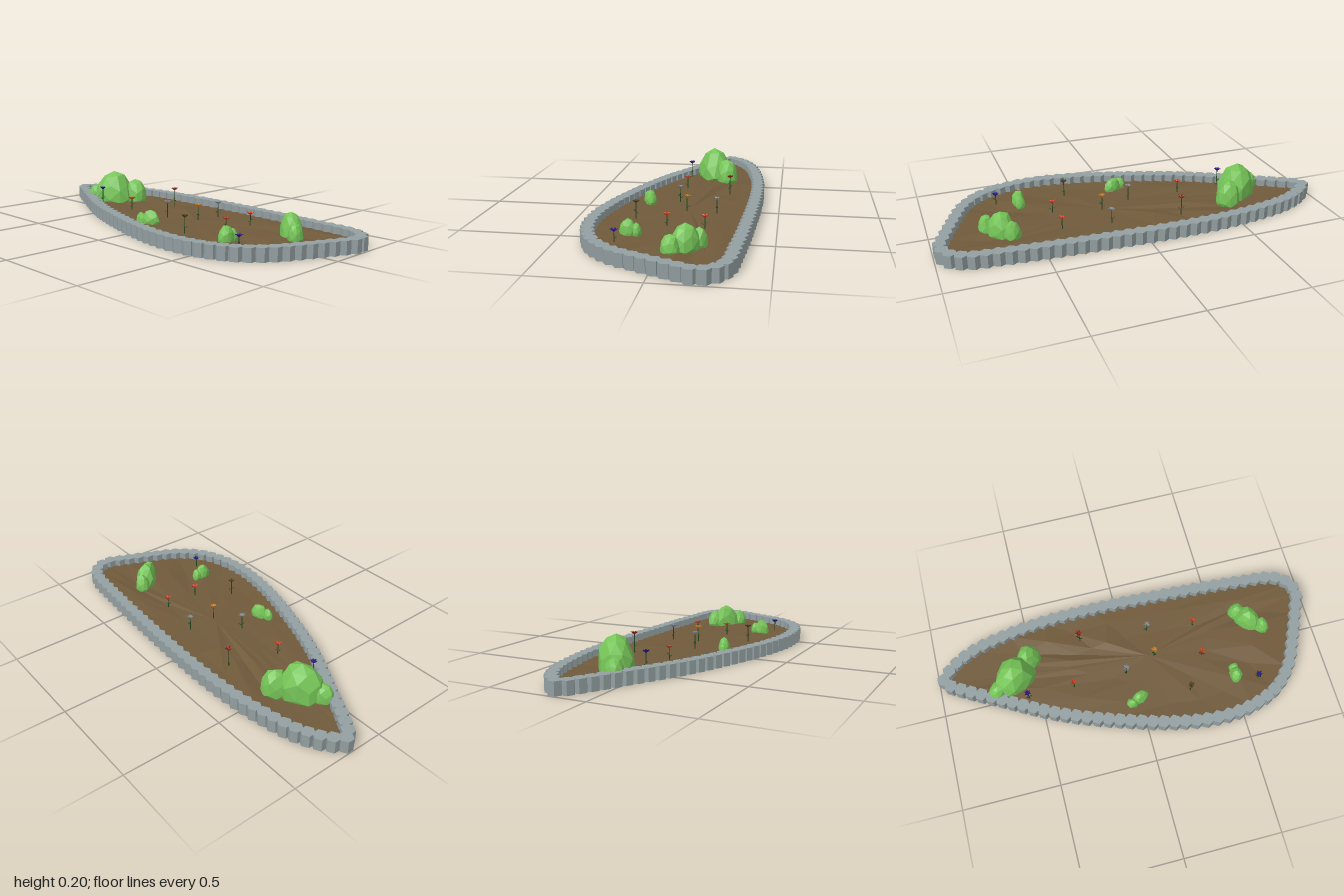
import * as THREE from 'three';

const mat = (name, color, extra = {}) =>
  Object.assign(new THREE.MeshStandardMaterial({ color, flatShading: true, ...extra }), { name });

// Repeatable noise in -1..1 from a position
const noise = (x, y, z) => {
  const s = Math.sin(x * 127.1 + y * 311.7 + z * 74.7) * 43758.5453;
  return (s - Math.floor(s)) * 2 - 1;
};

// Centre line of the stone border (x, z)
const PATH = [
  [-.40, -.37], [-.13, -.378], [.35, -.36], [.67, -.338], [.87, -.315], [.94, -.27],
  [.968, -.2], [.93, -.095], [.86, .065], [.80, .185], [.70, .29], [.56, .35],
  [.38, .372], [.15, .342], [-.17, .247], [-.43, .145], [-.70, 0], [-.905, -.115],
  [-.968, -.165], [-.91, -.235], [-.79, -.3], [-.60, -.345],
];

export function createModel() {
  const two = { side: THREE.DoubleSide };
  const stone = mat('stone', 0x939fa1);
  const soilMat = mat('soil', 0x705a3b, two);
  const leafGreen = mat('bushGreen', 0x76c558);
  const stemGreen = mat('stemGreen', 0x25481f, two);
  const petals = {
    blue: mat('petalBlue', 0x2a1690, two),
    red: mat('petalRed', 0xd8401f, two),
    darkRed: mat('petalDarkRed', 0x93271a, two),
    grey: mat('petalGrey', 0x8a8c96, two),
    orange: mat('petalOrange', 0xd08328, two),
    brown: mat('petalBrown', 0x55431c, two),
  };

  const model = new THREE.Group();
  model.name = 'flowerBed';
  const add = (parent, name, geometry, material, x = 0, y = 0, z = 0) => {
    const mesh = new THREE.Mesh(geometry, material);
    mesh.name = name;
    mesh.position.set(x, y, z);
    parent.add(mesh);
    return mesh;
  };

  // Border of six-sided stone posts
  const border = new THREE.Group();
  border.name = 'stoneBorder';
  model.add(border);
  const curve = new THREE.CatmullRomCurve3(
    PATH.map(([x, z]) => new THREE.Vector3(x, 0, z)), true, 'centripetal');
  const postGeo = new THREE.CylinderGeometry(.035, .035, .065, 6);
  const posts = Math.round(curve.getLength() / .056);
  curve.getSpacedPoints(posts).slice(0, posts).forEach((p) =>
    add(border, 'stonePost', postGeo, stone, p.x, .0325, p.z));

  // Uneven soil: rings shrinking toward the middle, with rough heights
  const cx = .1, cz = -.05, n = PATH.length;
  const soilPoint = (ring, i) => {
    const s = [0, .4, .72, .975][ring], [px, pz] = PATH[i % n];
    const x = cx + (px - cx) * s, z = cz + (pz - cz) * s;
    return [x, .03 + (ring === 3 ? 0 : .009 * noise(x, ring, z)), z];
  };
  const tris = [];
  for (let r = 0; r < 3; r++) {
    for (let i = 0; i < n; i++) {
      const a = soilPoint(r, i), b = soilPoint(r, i + 1);
      const c = soilPoint(r + 1, i), d = soilPoint(r + 1, i + 1);
      tris.push(...a, ...d, ...c);
      if (r > 0) tris.push(...a, ...b, ...d);
    }
  }
  const soilGeo = new THREE.BufferGeometry();
  soilGeo.setAttribute('position', new THREE.Float32BufferAttribute(tris, 3));
  soilGeo.computeVertexNormals();
  add(model, 'soil', soilGeo, soilMat);

  // Faceted bush lobe, flattened where it meets the soil
  const lobe = (parent, x, z, rx, rz, top, turn = 0) => {
    const geo = new THREE.IcosahedronGeometry(1, 1);
    const p = geo.attributes.position, base = .022;
    for (let i = 0; i < p.count; i++) {
      const [a, b, c] = [p.getX(i), p.getY(i), p.getZ(i)].map((v) => Math.round(v * 100) / 100 + 0);
      const k = 1 + .09 * noise(a + x, b, c + z);
      p.setXYZ(i, a * k * rx, Math.max(base, base + .02 + b * k * (top - base - .02)), c * k * rz);
    }
    geo.rotateY(turn);
    geo.computeVertexNormals();
    add(parent, 'bushLobe', geo, leafGreen, x, 0, z);
  };
  const bushes = [
    ['largeBush', [[-.605, -.1, .115, .088, .205, .55], [-.515, -.185, .068, .06, .155, .4],
      [-.7, -.05, .055, .045, .122, .4]]],
    ['mediumBush', [[.665, -.115, .075, .055, .148, -.8], [.62, -.17, .042, .038, .118, 0],
      [.728, -.06, .036, .042, .115, .3]]],
    ['smallFrontBush', [[0, .165, .05, .03, .095, .3], [-.045, .185, .033, .024, .082, 0]]],
    ['smallSideBush', [[.515, .172, .033, .04, .107, 0], [.515, .132, .026, .024, .085, 0]]],
  ];
  for (const [name, lobes] of bushes) {
    const bush = new THREE.Group();
    bush.name = name;
    model.add(bush);
    lobes.forEach((l) => lobe(bush, ...l));
  }

  // Star-edged flower cup: open cone with every second rim point drawn in
  const cupGeo = new THREE.ConeGeometry(.019, .015, 12, 1, true).rotateX(Math.PI);
  const cup = cupGeo.attributes.position;
  for (let i = 0; i < cup.count; i++) {
    const step = Math.round(Math.atan2(cup.getX(i), cup.getZ(i)) / (Math.PI / 6));
    if (cup.getY(i) > 0 && step % 2) {
      cup.setX(i, cup.getX(i) * .55);
      cup.setZ(i, cup.getZ(i) * .55);
    }
  }
  cupGeo.computeVertexNormals();
  const leafGeo = new THREE.CircleGeometry(.011, 4).scale(1, .4, 1).rotateX(-Math.PI / 2);

  const flowers = [
    [-.555, .025, .128, 'blue'], [-.315, .015, .1, 'red'], [-.23, -.228, .132, 'darkRed'],
    [-.035, .015, .118, 'grey'], [.13, -.045, .116, 'orange'], [.13, -.195, .11, 'grey'],
    [.375, -.165, .094, 'red'], [.375, .015, .096, 'red'], [.265, .187, .118, 'brown'],
    [.625, .21, .09, 'blue'],
  ];
  flowers.forEach(([x, z, top, colour], i) => {
    const flower = new THREE.Group();
    flower.name = 'flower';
    flower.position.set(x, 0, z);
    flower.rotation.y = i * 1.3;
    model.add(flower);
    const h = top - .03;
    add(flower, 'stem', new THREE.CylinderGeometry(.002, .0028, h, 5), stemGreen, 0, .02 + h / 2, 0);
    add(flower, 'flowerHead', cupGeo, petals[colour], 0, top - .0075, 0);
    for (const side of [-1, 1]) {
      const leaf = add(flower, 'leaf', leafGeo, stemGreen, side * .009, .03 + h * .35 + side * .004, 0);
      leaf.rotation.z = side * .6;
    }
  });

  return model;
}
